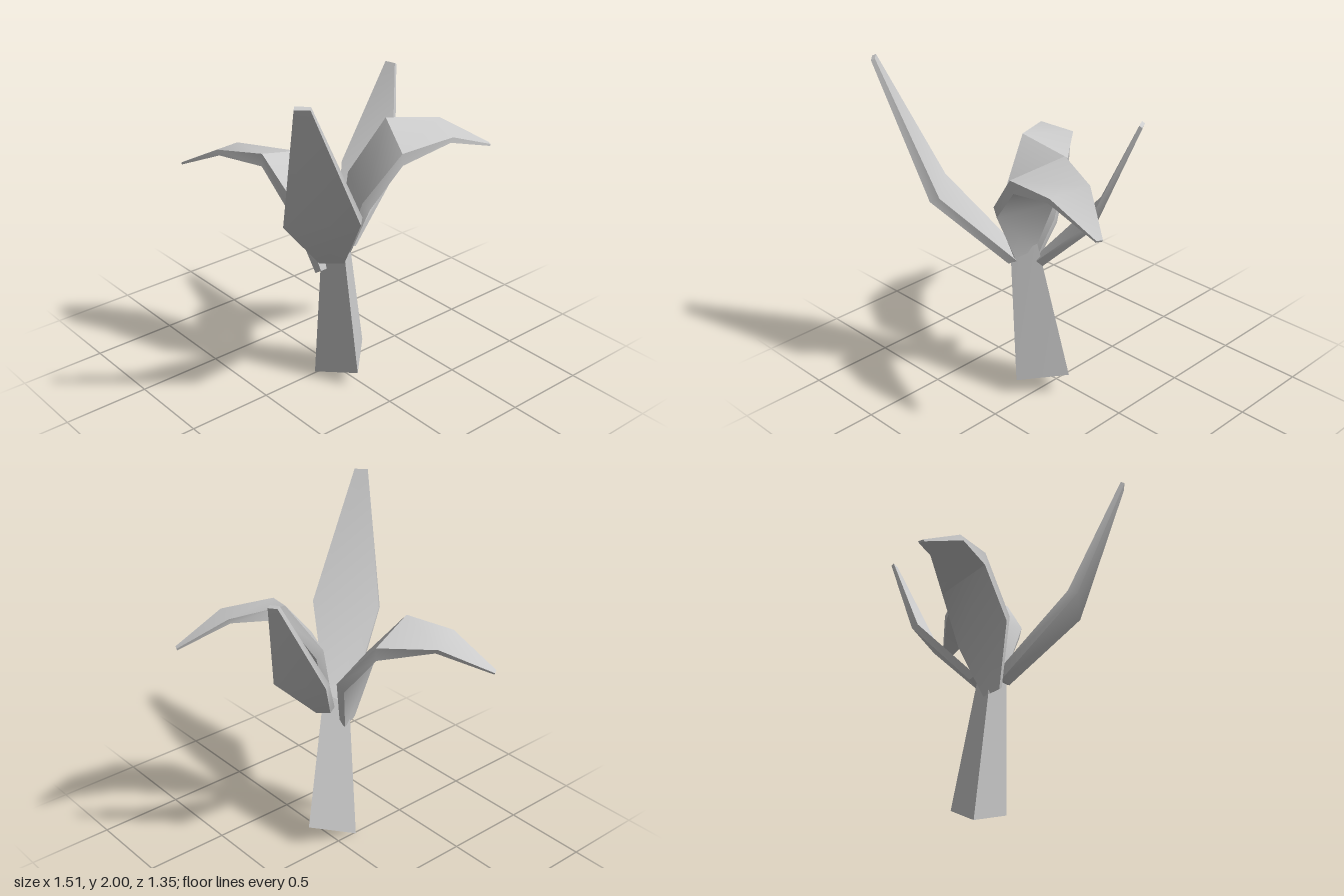
import * as THREE from 'three';
import { toCreasedNormals } from 'three/addons/utils/BufferGeometryUtils.js';

// Skin a solid through cross-sections (equal-length loops of points) and cap both ends.
function loft(name, sections) {
  const n = sections[0].length;
  const points = sections.flat();
  const faces = [];
  for (let s = 0; s < sections.length - 1; s++) {
    for (let i = 0; i < n; i++) {
      const a = s * n + i, b = s * n + (i + 1) % n;
      faces.push([a, b, b + n], [a, b + n, a + n]);
    }
  }
  const last = points.length - n;
  for (let i = 1; i < n - 1; i++) {
    faces.push([0, i + 1, i], [last, last + i, last + i + 1]);
  }
  // Turn all faces outwards, using the sign of the enclosed volume
  const v = points.map(p => new THREE.Vector3(...p));
  const volume = faces.reduce((sum, [a, b, c]) => sum + v[a].dot(v[b].clone().cross(v[c])), 0);
  if (volume < 0) faces.forEach(f => f.reverse());

  const geometry = new THREE.BufferGeometry();
  geometry.setAttribute('position', new THREE.Float32BufferAttribute(points.flat(), 3));
  geometry.setIndex(faces.flat());
  const mesh = new THREE.Mesh(
    toCreasedNormals(geometry, 0.75),
    new THREE.MeshStandardMaterial({ color: 0xcccccc })
  );
  mesh.name = name;
  return mesh;
}

// A leaf is a row of [edge, otherEdge, thickness] stations from base to tip.
function leaf(name, stations) {
  const shift = (p, t) => p.map((c, i) => c + t[i]);
  return loft(name, stations.map(([p, q, t]) => [p, q, shift(q, t), shift(p, t)]));
}

export function createModel() {
  const group = new THREE.Group();
  group.name = 'plant';

  // Three-sided stem, cut at a slant at both ends
  group.add(loft('stem', [
    [[-0.13, 0, -0.01], [-0.05, 0.10, 0.28], [0.17, 0.14, 0.07]],
    [[-0.16, 0.84, 0.09], [-0.12, 0.87, 0.24], [-0.01, 0.96, 0.14]],
  ]));

  // Upright leaves
  group.add(leaf('tallLeaf', [
    [[-0.21, 0.81, 0.13], [-0.13, 0.83, 0.25], [0.04, 0.02, -0.03]],
    [[-0.615, 1.24, 0.34], [-0.34, 1.27, 0.62], [0.04, 0.02, -0.035]],
    [[-0.757, 1.99, 0.62], [-0.70, 1.99, 0.672], [0.015, 0.01, -0.015]],
  ]));
  group.add(leaf('uprightLeaf', [
    [[0.04, 0.84, 0.15], [0, 0.86, 0.07], [-0.04, 0.02, 0.01]],
    [[0.375, 1.17, 0.10], [0.23, 1.20, -0.168], [-0.035, 0.015, 0.015]],
    [[0.535, 1.74, -0.08], [0.51, 1.745, -0.13], [-0.017, 0.01, 0.005]],
  ]));

  // Arching leaves with drooping tips
  group.add(leaf('frontArchedLeaf', [
    [[-0.11, 0.89, 0.235], [-0.06, 0.92, 0.13], [0.03, -0.01, 0.01]],
    [[-0.11, 1.23, 0.37], [0.04, 1.27, 0.08], [0.04, -0.045, 0.015]],
    [[0.10, 1.48, 0.445], [0.23, 1.57, 0.17], [0.015, -0.075, -0.01]],
    [[0.43, 1.50, 0.487], [0.52, 1.535, 0.29], [-0.015, -0.028, 0]],
    [[0.74, 1.375, 0.48], [0.755, 1.375, 0.45], [-0.005, -0.01, 0]],
  ]));
  group.add(leaf('backArchedLeaf', [
    [[-0.20, 0.76, 0.135], [-0.10, 0.74, 0.105], [-0.015, -0.02, -0.03]],
    [[-0.315, 1.14, 0.105], [0, 1.07, 0.015], [-0.02, -0.045, -0.04]],
    [[-0.39, 1.43, -0.125], [-0.10, 1.345, -0.195], [0, -0.075, -0.005]],
    [[-0.50, 1.40, -0.385], [-0.31, 1.368, -0.46], [0, -0.028, 0.02]],
    [[-0.555, 1.245, -0.665], [-0.53, 1.24, -0.68], [0, -0.01, 0.005]],
  ]));

  return group;
}
